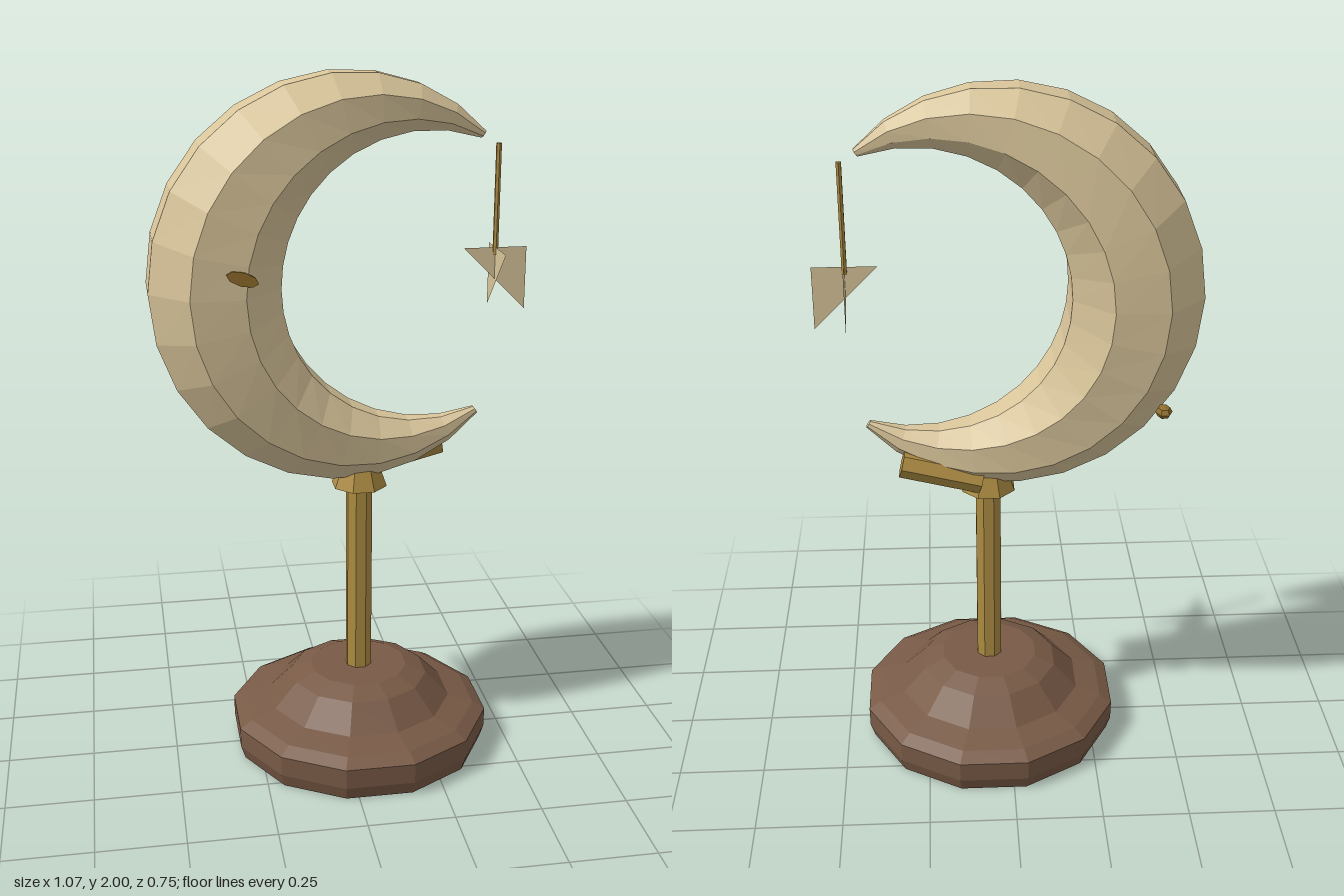
import * as THREE from 'three';

const POLE_X = 0.06;

const material = (name, color, extra = {}) => {
  const m = new THREE.MeshStandardMaterial({ color, flatShading: true, ...extra });
  m.name = name;
  return m;
};

// Tube with an octagonal section that swells along an arc and closes at both tips
function crescentGeometry() {
  const cx = 0.129, cy = 1.43, R = 0.479, steps = 20, sides = 8;
  const start = THREE.MathUtils.degToRad(55.5), end = 2 * Math.PI - start;
  const pos = [], index = [];
  for (let i = 0; i <= steps; i++) {
    const t = i / steps;
    const a = start + (end - start) * t;
    const r = 0.012 + 0.183 * Math.sin(Math.PI * t);
    for (let j = 0; j < sides; j++) {
      const b = ((j + 0.5) / sides) * Math.PI * 2;
      const d = R + r * Math.cos(b);
      pos.push(cx + d * Math.cos(a), cy + d * Math.sin(a), r * Math.sin(b));
    }
  }
  for (let i = 0; i < steps; i++) {
    for (let j = 0; j < sides; j++) {
      const k = (j + 1) % sides;
      const a = i * sides + j, b = i * sides + k;
      index.push(a, a + sides, b, b, a + sides, b + sides);
    }
  }
  // Tip caps
  const last = steps * sides;
  for (let j = 1; j < sides - 1; j++) {
    index.push(0, j, j + 1, last, last + j + 1, last + j);
  }
  const g = new THREE.BufferGeometry();
  g.setAttribute('position', new THREE.Float32BufferAttribute(pos, 3));
  g.setIndex(index);
  g.computeVertexNormals();
  return g;
}

export function createModel() {
  const group = new THREE.Group();
  const cream = material('cream', 0xd9c59a, { side: THREE.DoubleSide });
  const brown = material('brown wood', 0x785a46, { side: THREE.DoubleSide });
  const gold = material('gold', 0xad8c42);
  const darkGold = material('dark gold', 0x8f6d2c);

  const add = (name, geometry, mat, x = 0, y = 0, z = 0) => {
    const mesh = new THREE.Mesh(geometry, mat);
    mesh.name = name;
    mesh.position.set(x, y, z);
    group.add(mesh);
    return mesh;
  };
  // Cylinder running between two points
  const rod = (name, from, to, radius, sides, mat) => {
    const a = new THREE.Vector3(...from), b = new THREE.Vector3(...to);
    const dir = b.clone().sub(a);
    const mesh = add(name, new THREE.CylinderGeometry(radius, radius, dir.length(), sides), mat);
    mesh.position.copy(a).add(b).multiplyScalar(0.5);
    mesh.quaternion.setFromUnitVectors(new THREE.Vector3(0, 1, 0), dir.normalize());
    return mesh;
  };

  // Stepped twelve-sided base, hollow underneath
  const profile = [[0.373, 0], [0.386, 0.04], [0.387, 0.1], [0.35, 0.122],
    [0.275, 0.143], [0.205, 0.215], [0.145, 0.24], [0, 0.24]];
  const base = add('base', new THREE.LatheGeometry(
    profile.map(([r, y]) => new THREE.Vector2(r, y)), 12), brown, POLE_X);
  base.rotation.y = Math.PI / 12;

  // Pole and collar
  const pole = add('pole', new THREE.CylinderGeometry(0.039, 0.039, 0.63, 8), gold, POLE_X, 0.545);
  pole.rotation.y = Math.PI / 8;
  const collar = add('collar', new THREE.CylinderGeometry(0.06, 0.082, 0.06, 8), gold, POLE_X, 0.853);
  collar.rotation.y = Math.PI / 8;

  add('crescent', crescentGeometry(), cream);

  // Short brace under the lower horn
  rod('brace', [0.08, 0.87, -0.048], [0.308, 0.928, -0.048], 0.039, 6, gold);

  // Small studs sunk into the crescent
  const frontStud = add('frontStud', new THREE.CylinderGeometry(0.045, 0.045, 0.008, 8), darkGold, -0.285, 1.487, 0.18);
  frontStud.rotation.set(Math.PI / 2, -0.3, 0);
  frontStud.scale.z = 0.42;
  const backStud = add('backStud', new THREE.SphereGeometry(0.03, 6, 4), darkGold, -0.425, 1.115, -0.125);
  backStud.scale.set(0.8, 0.6, 1);

  // Hanging pendant: a thin rod with two crossed triangular plates
  rod('hanger', [0.445, 1.49, 0], [0.445, 1.8, 0], 0.008, 6, gold);
  const triangle = new THREE.ShapeGeometry(new THREE.Shape([
    new THREE.Vector2(-0.09, 0), new THREE.Vector2(0.09, -0.18), new THREE.Vector2(0.09, 0)]));
  add('pendantFrontPlate', triangle, cream, 0.445, 1.51, 0);
  const sidePlate = add('pendantSidePlate', triangle, cream, 0.445, 1.51, 0.02);
  sidePlate.rotation.y = Math.PI / 2;

  return group;
}
